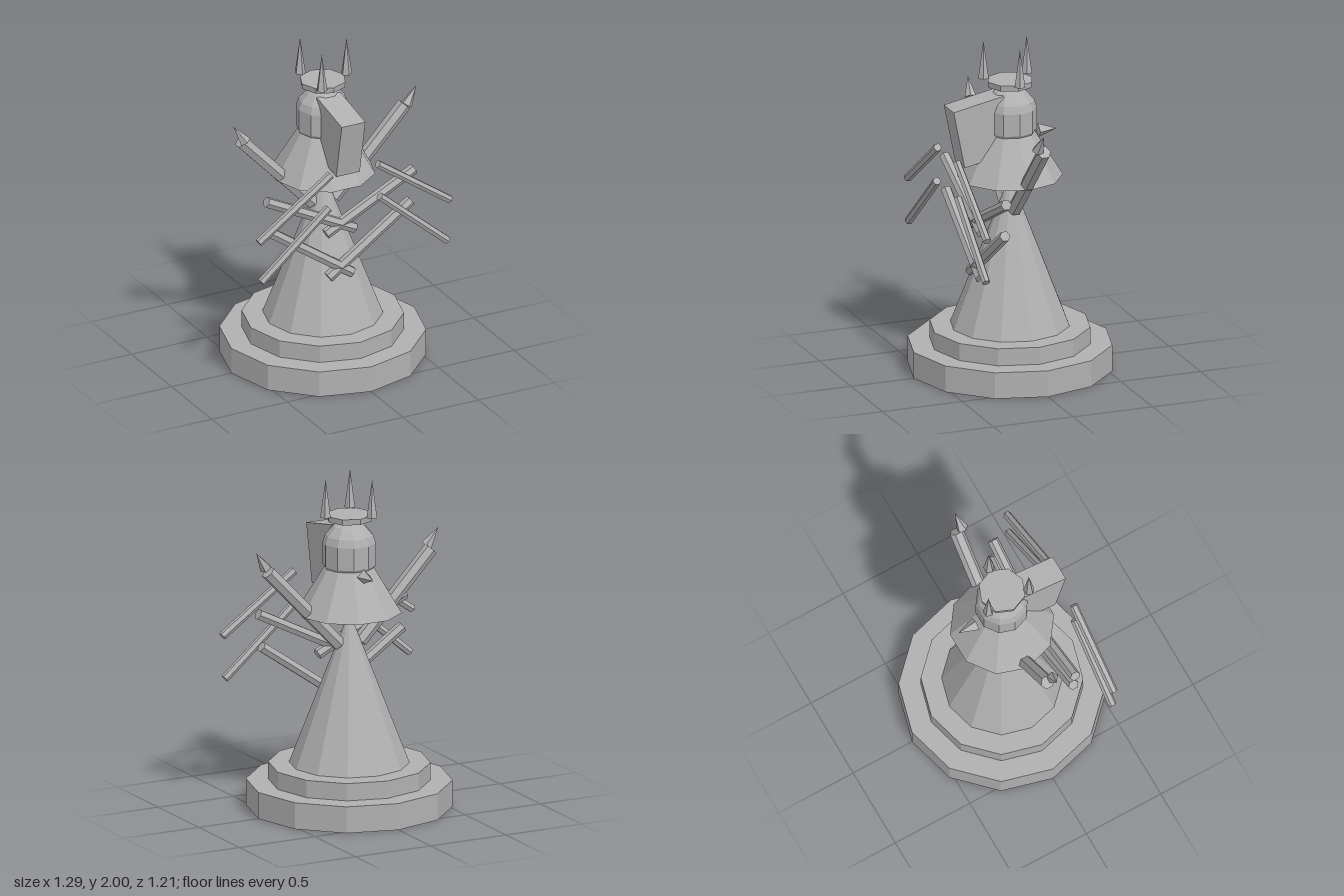
import * as THREE from 'three';

export function createModel() {
  const model = new THREE.Group();
  const stone = new THREE.MeshStandardMaterial({ color: 0xb0b0b0 });
  stone.name = 'stone grey';
  stone.flatShading = true;

  function add(name, geometry, parent = model) {
    const mesh = new THREE.Mesh(geometry, stone);
    mesh.name = name;
    parent.add(mesh);
    return mesh;
  }
  // Tapered prism standing on y0; turn rotates its corners about y
  function drum(name, rTop, rBottom, y0, y1, sides, turn = 0) {
    const g = new THREE.CylinderGeometry(rTop, rBottom, y1 - y0, sides);
    g.rotateY(turn).translate(0, (y0 + y1) / 2, 0);
    return add(name, g);
  }
  // Tapered prism running from point a to point b
  function rod(name, a, b, rStart, rEnd, sides, parent) {
    const from = new THREE.Vector3(...a), to = new THREE.Vector3(...b);
    const dir = to.clone().sub(from);
    const mesh = add(name, new THREE.CylinderGeometry(rEnd, rStart, dir.length(), sides), parent);
    mesh.position.copy(from).lerp(to, 0.5);
    mesh.quaternion.setFromUnitVectors(new THREE.Vector3(0, 1, 0), dir.normalize());
    return mesh;
  }

  // Stepped base and cone body
  drum('lowerBase', 0.605, 0.605, 0, 0.16, 12);
  drum('upperBase', 0.475, 0.475, 0.16, 0.265, 12);
  drum('bodyCone', 0, 0.353, 0.265, 1.18, 12);

  // Shoulder skirt and domed head
  drum('skirt', 0.14, 0.31, 1.18, 1.46, 10, Math.PI / 2);
  const headProfile = [[0, 1.45], [0.147, 1.45], [0.157, 1.465], [0.157, 1.6], [0.142, 1.645],
    [0.094, 1.7], [0, 1.735]].map(([r, y]) => new THREE.Vector2(r, y));
  add('head', new THREE.LatheGeometry(headProfile, 10).rotateY(Math.PI / 2));

  // Tilted block on the face
  const snout = add('snout', new THREE.BoxGeometry(0.156, 0.357, 0.32));
  snout.position.set(0, 1.491, 0.193);
  snout.rotation.x = 0.197;

  // Spike on the back
  rod('backSpike', [0, 1.433, -0.176], [0, 1.433, -0.292], 0.043, 0, 4);

  // Crown plate with three spikes
  drum('crownPlate', 0.139, 0.135, 1.735, 1.77, 8);
  for (let i = 0; i < 3; i++) {
    const a = i * Math.PI * 2 / 3, x = 0.157 * Math.cos(a), z = 0.157 * Math.sin(a);
    rod('crownSpike', [x, 1.77, z], [x, 2, z], 0.033, 0, 5);
  }

  // Arms and crossed ribs, mirrored left and right
  for (const s of [1, -1]) {
    const side = new THREE.Group();
    side.name = s > 0 ? 'leftLimbs' : 'rightLimbs';
    model.add(side);
    rod('arm', [s * 0.07, 0.99, 0], [s * 0.54, 1.487, 0], 0.043, 0.043, 6, side);
    rod('armClaw', [s * 0.534, 1.5, 0.037], [s * 0.605, 1.605, 0.025], 0.036, 0, 5, side);
    rod('upperRib', [s * 0.488, 1.172, 0.216], [s * -0.095, 0.878, 0.216], 0.033, 0.033, 6, side);
    rod('lowerRib', [s * 0.467, 0.973, 0.216], [s * -0.078, 0.594, 0.216], 0.033, 0.033, 6, side);
    rod('upperFrontRib', [s * 0.155, 1.35, 0.393], [s * 0.632, 1.015, 0.393], 0.025, 0.025, 6, side);
    rod('lowerFrontRib', [s * 0.168, 1.138, 0.393], [s * 0.615, 0.755, 0.393], 0.025, 0.025, 6, side);
  }
  return model;
}
